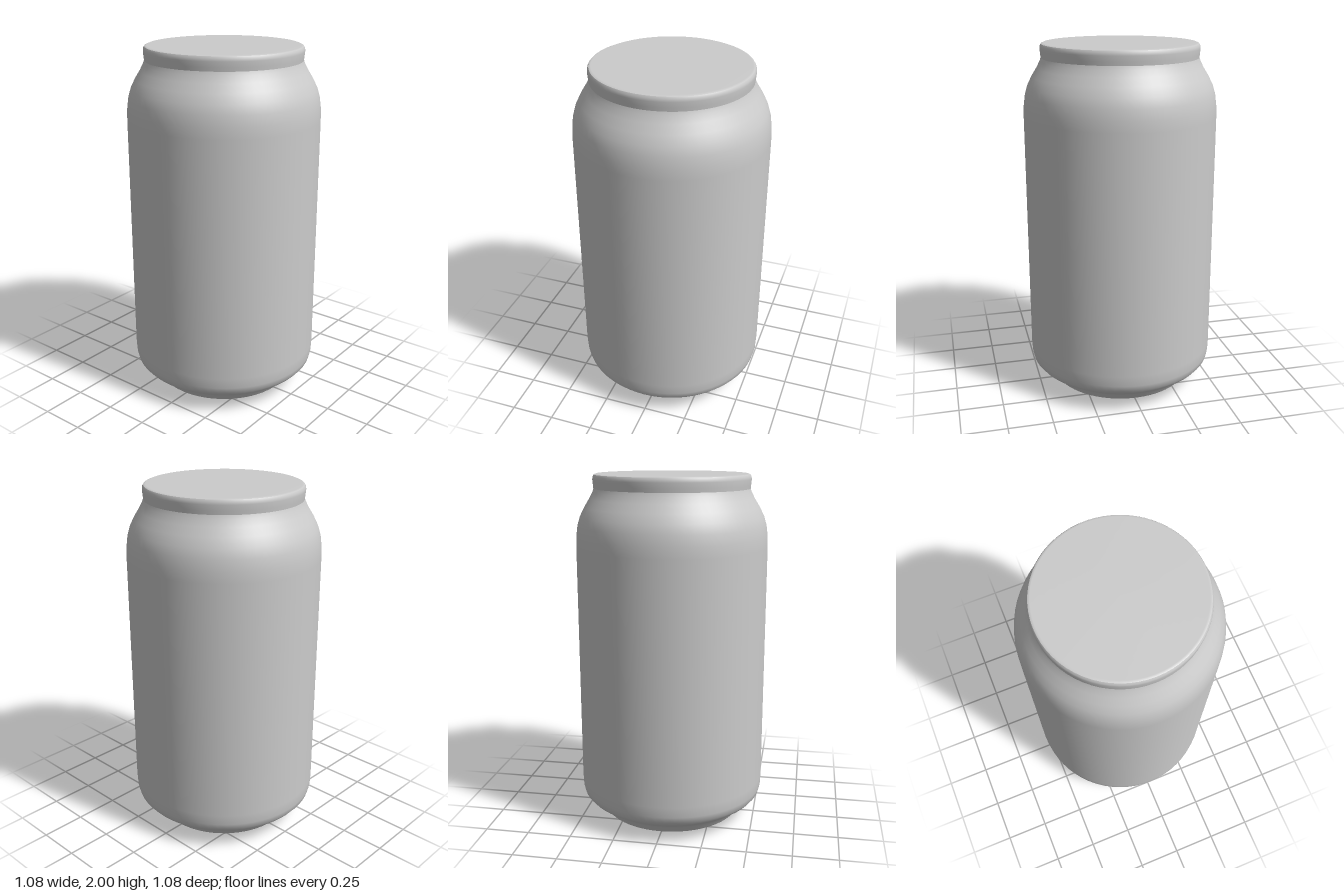
import * as THREE from 'three';

const material = new THREE.MeshStandardMaterial({ color: 0xcccccc });

// Revolves a profile of [radius, height] pairs, listed from bottom to top of the outside
function turned(name, profile) {
  const points = profile.map(([r, y]) => new THREE.Vector2(r, y));
  const mesh = new THREE.Mesh(new THREE.LatheGeometry(points, 64), material);
  mesh.name = name;
  return mesh;
}

export function createModel() {
  const can = new THREE.Group();
  can.name = 'drinkCan';

  // Slightly bulging base disc
  can.add(turned('base', [[0, 0.0], [0.2, 0.01], [0.35, 0.018], [0.4, 0.026]]));

  // Stepped foot below the rounded lower edge
  can.add(turned('foot', [[0.4, 0.026], [0.412, 0.04], [0.428, 0.068], [0.45, 0.086], [0.475, 0.1]]));

  // Straight wall with rounded lower edge and tapered shoulder
  can.add(turned('body', [
    [0.475, 0.1], [0.505, 0.12], [0.526, 0.145], [0.535, 0.18], [0.538, 0.24],
    [0.538, 1.6], [0.536, 1.66], [0.528, 1.72], [0.513, 1.77], [0.488, 1.82],
    [0.46, 1.865], [0.442, 1.9], [0.435, 1.92],
  ]));

  // Rolled rim at the neck
  can.add(turned('rim', [[0.435, 1.92], [0.437, 1.94], [0.44, 1.97], [0.438, 1.985], [0.432, 1.995]]));

  // Flat lid
  can.add(turned('lid', [[0.432, 1.995], [0.42, 2.0], [0, 2.0]]));

  return can;
}
